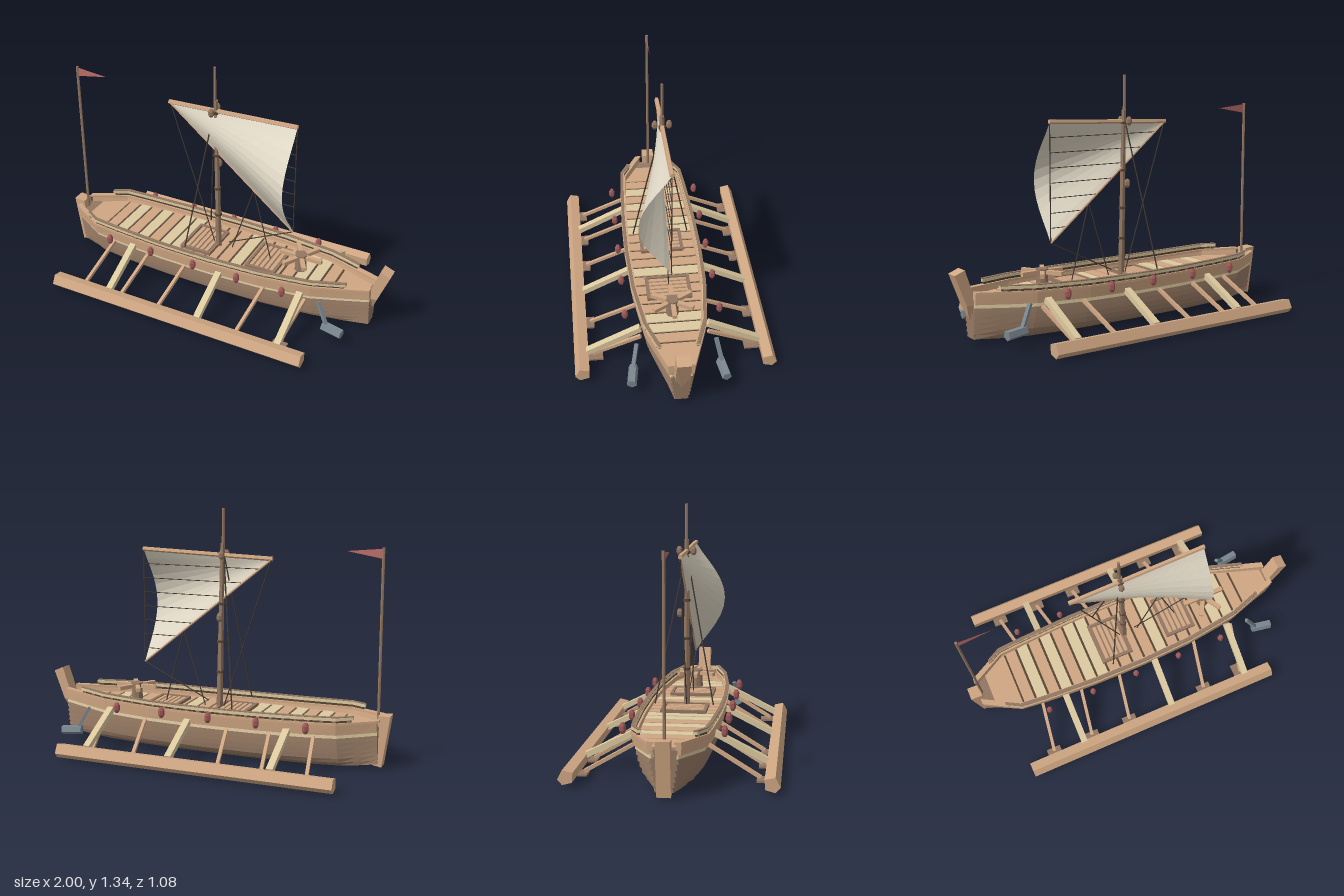
import * as THREE from 'three';

const material = (name, color) => {
  const m = new THREE.MeshStandardMaterial({ color });
  m.name = name;
  return m;
};

export function createModel() {
  const ship = new THREE.Group();
  ship.name = 'outriggerSailingShip';
  const tan = material('tanWood', 0xd0a783);
  const cream = material('paleWood', 0xdcc99f);
  const brown = material('brownWood', 0x947862);
  const dark = material('darkWood', 0x574536);
  const rope = material('rope', 0x453a33);
  const canvas = material('canvas', 0xe2dac7);
  const flagRed = material('flagRed', 0xbd6d67);
  const red = material('fenderRed', 0xa35a5a);
  const iron = material('iron', 0x7b8790);
  canvas.side = flagRed.side = THREE.DoubleSide;

  // ---- helpers ----
  const V = (x, y, z) => new THREE.Vector3(x, y, z);
  function add(name, geometry, mat, pos = [0, 0, 0]) {
    const g = geometry.index ? geometry.toNonIndexed() : geometry;
    g.computeVertexNormals(); // faceted look
    const mesh = new THREE.Mesh(g, mat);
    mesh.name = name;
    mesh.position.set(...pos);
    ship.add(mesh);
    return mesh;
  }
  const box = (name, mat, size, pos) => add(name, new THREE.BoxGeometry(...size), mat, pos);
  // bar between two points: square when h is given, otherwise round
  function bar(name, mat, a, b, w, h, sides = 6, wEnd = w) {
    const A = V(...a), B = V(...b), len = A.distanceTo(B);
    const g = h ? new THREE.BoxGeometry(w, h, len)
      : new THREE.CylinderGeometry(wEnd, w, len, sides).rotateX(Math.PI / 2);
    const mesh = add(name, g, mat, A.clone().add(B).multiplyScalar(0.5).toArray());
    mesh.lookAt(B);
    return mesh;
  }
  // loft of closed [y, z] sections along x; side -1 mirrors it across the centre line
  function loft(name, mat, xs, section, side = 1) {
    const rings = xs.map((x) => {
      const p = section(x).map(([y, z]) => [y, z * side]);
      const area = p.reduce((s, [y, z], i) => {
        const q = p[(i + 1) % p.length];
        return s + y * q[1] - q[0] * z;
      }, 0);
      return area < 0 ? p.reverse() : p;
    });
    const n = rings[0].length, pos = [], idx = [];
    rings.forEach((r, i) => r.forEach(([y, z]) => pos.push(xs[i], y, z)));
    for (let i = 0; i < xs.length - 1; i++) {
      for (let j = 0; j < n; j++) {
        const a = i * n + j, b = i * n + (j + 1) % n;
        idx.push(a, b, a + n, b, b + n, a + n);
      }
    }
    const last = (xs.length - 1) * n;
    for (let j = 1; j < n - 1; j++) idx.push(0, j + 1, j, last, last + j, last + j + 1);
    const g = new THREE.BufferGeometry();
    g.setAttribute('position', new THREE.Float32BufferAttribute(pos, 3));
    g.setIndex(idx);
    return add(name, g, mat);
  }
  const interp = (table, x) => {
    let i = 1;
    while (i < table.length - 1 && x > table[i][0]) i++;
    const [a, b] = [table[i - 1], table[i]];
    return THREE.MathUtils.lerp(a[1], b[1], THREE.MathUtils.clamp((x - a[0]) / (b[0] - a[0]), 0, 1));
  };
  const shape = (pts) => new THREE.Shape(pts.map((p) => new THREE.Vector2(...p)));
  const extrude = (pts, depth) => new THREE.ExtrudeGeometry(shape(pts), { depth, bevelEnabled: false }).translate(0, 0, -depth / 2);

  // ---- hull lines ----
  const plan = [[-0.95, 0.07], [-0.75, 0.18], [-0.6, 0.192], [-0.3, 0.207], [0, 0.21], [0.3, 0.198], [0.6, 0.16], [0.9, 0.06]];
  const belly = [[0, 0.38], [0.08, 0.58], [0.2, 0.74], [0.4, 0.85], [0.7, 0.94], [1, 1]];
  const halfWidth = (x) => interp(plan, x);
  const keelY = (x) => 0.008 + 0.03 * Math.abs(x / 0.93) ** 4;
  const sheerY = (x) => 0.255 + 0.02 * (x / 0.95) ** 2;
  const yAt = (x, t) => THREE.MathUtils.lerp(keelY(x), sheerY(x), t);
  const zAt = (x, t) => halfWidth(x) * THREE.MathUtils.lerp(interp(belly, t), 0.45 + 0.55 * t, Math.abs(x / 0.95) ** 5);
  const stations = [-0.94, -0.85, -0.75, -0.6, -0.45, -0.3, -0.15, 0, 0.15, 0.3, 0.45, 0.6, 0.75, 0.9];
  const between = (a, b) => [a, ...stations.filter((x) => x > a + 0.02 && x < b - 0.02), b];

  // hull body, with its top just under the deck
  loft('hullBody', brown, stations, (x) => {
    const half = [0, 0.08, 0.2, 0.4, 0.7, 0.87].map((t) => [yAt(x, t), Math.max(zAt(x, t) - 0.006, 0.01)]);
    return [...half, ...half.map(([y, z]) => [y, -z]).reverse()];
  });

  // lapped strakes, wale, bulwark and rails on both sides
  const edges = [0, 0.1, 0.21, 0.33, 0.45, 0.58, 0.69, 0.77, 1];
  const strakeMats = [brown, brown, brown, brown, brown, brown, cream, tan];
  for (const s of [1, -1]) {
    strakeMats.forEach((mat, k) => {
      const [t0, t1] = [edges[k], edges[k + 1]];
      const out = k === 7 ? 0.012 : k === 6 ? 0.006 : 0.011;
      loft('strake', mat, stations, (x) => [
        [yAt(x, t0), Math.max(zAt(x, t0) - 0.018, 0)], [yAt(x, t0), zAt(x, t0) + out],
        [yAt(x, t1), zAt(x, t1) + (k === 7 ? 0.008 : 0)], [yAt(x, t1), zAt(x, t1) - 0.018],
      ], s);
    });
    const rail = (name, mat, a, b, lo, hi, zin, zout) => loft(name, mat, between(a, b), (x) => [
      [sheerY(x) + lo, halfWidth(x) + zin], [sheerY(x) + lo, halfWidth(x) + zout],
      [sheerY(x) + hi, halfWidth(x) + zout], [sheerY(x) + hi, halfWidth(x) + zin],
    ], s);
    rail('gunwale', tan, -0.95, 0.9, -0.002, 0.01, -0.022, 0.011);
    rail('railGap', dark, -0.82, 0.77, 0.008, 0.024, -0.01, 0.002);
    rail('upperRail', cream, -0.83, 0.78, 0.022, 0.038, -0.012, 0.009);
    rail('railCap', brown, -0.83, 0.78, 0.036, 0.042, -0.01, 0.009);
    for (let i = 0; i < 24; i++) {
      const x = -0.81 + i * 0.068;
      box('railPost', brown, [0.016, 0.02, 0.014], [x, sheerY(x) + 0.016, s * (halfWidth(x) - 0.001)]);
    }
  }

  // deck planks laid across, over dark seams
  const deckY = 0.238;
  const deckZ = (x) => halfWidth(x) - 0.012;
  loft('deckSeams', dark, stations, (x) => [[0.222, -deckZ(x)], [deckY - 0.003, -deckZ(x)], [deckY - 0.003, deckZ(x)], [0.222, deckZ(x)]]);
  const plank = (a, b, mat) => loft('deckPlank', mat, between(a, b), (x) => [
    [deckY - 0.008, -deckZ(x)], [deckY + 0.003, -deckZ(x)], [deckY + 0.003, deckZ(x)], [deckY - 0.008, deckZ(x)]]);
  plank(-0.93, -0.735, tan);
  const palePlanks = [1, 3, 5, 6, 11, 16, 17];
  for (let i = 0; i < 19; i++) plank(-0.725 + i * 0.075, -0.663 + i * 0.075, palePlanks.includes(i) ? cream : tan);
  plank(0.7, 0.89, tan);

  // hatch gratings
  for (const [cx, w] of [[-0.125, 0.19], [0.28, 0.18]]) {
    box('hatchWell', brown, [w, 0.008, 0.24], [cx, deckY + 0.004, 0]);
    for (const s of [1, -1]) {
      box('hatchFrame', brown, [w, 0.02, 0.016], [cx, deckY + 0.01, s * 0.116]);
      box('hatchFrame', brown, [0.016, 0.02, 0.24], [cx + s * (w / 2 - 0.008), deckY + 0.01, 0]);
    }
    for (let i = -2; i <= 2; i++) box('hatchSlat', tan, [0.02, 0.012, 0.21], [cx + i * 0.03, deckY + 0.01, 0]);
  }

  // stem: dark forefoot below, raked post with a pointed lower end above
  add('forefoot', extrude([[0.86, 0.035], [0.895, 0.03], [0.905, 0.24], [0.86, 0.24]], 0.07), brown);
  const stem = extrude([[-0.037, 0.385], [-0.037, 0.21], [0, 0.13], [0.037, 0.21], [0.037, 0.385]], 0.056).rotateY(Math.PI / 2);
  const st = stem.attributes.position;
  for (let i = 0; i < st.count; i++) {
    const y = st.getY(i);
    st.setXYZ(i, st.getX(i) + 0.877 + (y - 0.13) * 0.36, y - (y > 0.3 ? st.getX(i) * 0.4 : 0), st.getZ(i));
  }
  add('stemPost', stem, tan);
  add('sternPost', extrude([[-0.96, 0.02], [-0.91, 0.03], [-0.935, 0.295], [-1.0, 0.3]], 0.07), tan);

  // outriggers: floats, arms, oars
  for (const s of [1, -1]) {
    loft('outriggerFloat', tan, [-0.83, 0.705], () => [[0.047, 0.54], [0.095, 0.515], [0.083, 0.463], [0.033, 0.467], [0.02, 0.515]], s);
    for (const x of [-0.49, 0.07, 0.55]) bar('outriggerArm', cream, [x, 0.222, s * 0.18], [x, 0.077, s * 0.468], 0.036, 0.03);
    for (const x of [-0.63, -0.39, -0.15, 0.335, 0.58]) {
      const depth = x > 0.5 ? 0.08 : 0.045;
      bar('oarShaft', tan, [x, 0.19, s * 0.18], [x - 0.042, 0.045, s * 0.44], 0.018, 0.018);
      box('oarBlade', brown, [0.082, 0.01, depth], [x - 0.042, 0.034, s * (0.465 - depth / 2)]);
    }
  }

  // small faceted pods: fenders along the sides and pulley blocks aloft
  const pod = (name, mat, pos, r, h) => add(name, new THREE.LatheGeometry(
    [[0, -1], [0.55, -1], [1, -0.45], [1, 0.45], [0.55, 1], [0, 1]].map(([a, y]) => new THREE.Vector2(a * r, y * h)), 6), mat, pos);
  for (const s of [1, -1]) {
    for (let i = 0; i < 5; i++) pod('sideFender', red, [-0.61 + i * 0.271, 0.255, s * 0.256], 0.017, 0.028);
    pod('pulleyBlock', brown, [-0.06, 1.1, s * 0.038], 0.016, 0.023);
  }
  pod('pulleyBlock', brown, [-0.05, 0.76, -0.038], 0.016, 0.023);

  // anchors
  for (const s of [1, -1]) {
    bar('anchorShank', iron, [0.67, 0.225, s * 0.21], [0.735, 0.1, s * 0.238], 0.02, 0.016);
    bar('anchorHead', iron, [0.71, 0.098, s * 0.232], [0.825, 0.09, s * 0.25], 0.027, 0, 5);
  }

  // mast, topmast, yard and foot spar
  bar('mast', brown, [-0.035, 0.2, 0], [-0.052, 1.16, 0], 0.019, 0, 6, 0.013);
  bar('topmast', brown, [-0.055, 1.06, 0], [-0.057, 1.35, 0], 0.01, 0, 6, 0.008);
  for (const y of [0.45, 0.62, 0.83, 1.09]) {
    add('mastBand', new THREE.CylinderGeometry(0.02, 0.02, 0.014, 6), dark, [-0.035 - (y - 0.2) * 0.0177, y, 0]);
  }
  bar('yard', tan, [-0.337, 1.088, 0], [0.423, 1.113, 0], 0.013, 0, 5);
  bar('footSpar', tan, [-0.33, 1.083, 0], [0.42, 0.47, 0], 0.006, 0, 5);

  // billowing triangular sail
  const sailPoint = (u, v) => {
    const top = 1.083 + 0.025 * u, foot = 1.083 - 0.613 * u;
    return V(-0.33 + 0.75 * u, THREE.MathUtils.lerp(top, foot, v), 0.17 * u ** 1.6 * Math.max(Math.sin(Math.PI * v), 0) ** 1.15);
  };
  const sail = new THREE.PlaneGeometry(1, 1, 12, 12);
  const sp = sail.attributes.position;
  for (let i = 0; i < sp.count; i++) {
    sp.setXYZ(i, ...sailPoint(sp.getX(i) + 0.5, 0.5 - sp.getY(i)).toArray());
  }
  add('sail', sail, canvas);

  // rigging, with a ladder of lines running fore and aft behind the sail
  const line = (a, b, r = 0.0032) => bar('riggingLine', rope, a, b, r, 0, 5);
  line([0.42, 1.11, 0], [0.42, 0.47, 0]);
  for (let i = 1; i < 8; i++) {
    const y = 0.47 + i * 0.08;
    line([0.42, y, 0], [-0.33 + 0.75 * (1.083 - y) / 0.613, y, 0], 0.0022);
  }
  for (const s of [1, -1]) line([-0.06, 1.1, 0], [-0.17, 0.28, s * 0.158], 0.004);
  line([-0.33, 1.085, 0], [-0.06, 0.25, 0]);
  line([0.42, 0.47, 0], [0.03, 0.28, 0]);
  line([0.18, 0.667, 0], [0.05, 0.25, 0]);
  line([0.18, 0.667, 0], [0.29, 0.25, 0]);

  // capstan with radiating bars
  add('capstanDrum', new THREE.CylinderGeometry(0.03, 0.036, 0.1, 8), brown, [0.475, 0.28, 0]);
  add('capstanHead', new THREE.CylinderGeometry(0.035, 0.035, 0.032, 8), brown, [0.475, 0.326, 0]);
  for (let i = 0; i < 6; i++) {
    const a = i * Math.PI / 3;
    bar('capstanBar', tan, [0.475, 0.324, 0], [0.475 + 0.122 * Math.cos(a), 0.324, 0.122 * Math.sin(a)], 0.024, 0.022);
  }

  // stern flag
  bar('flagPole', brown, [-0.93, 0.22, 0], [-0.93, 1.17, 0], 0.008, 0, 6);
  add('flag', new THREE.ShapeGeometry(shape([[-0.93, 1.165], [-0.93, 1.113], [-0.738, 1.146]])), flagRed);

  return ship;
}
